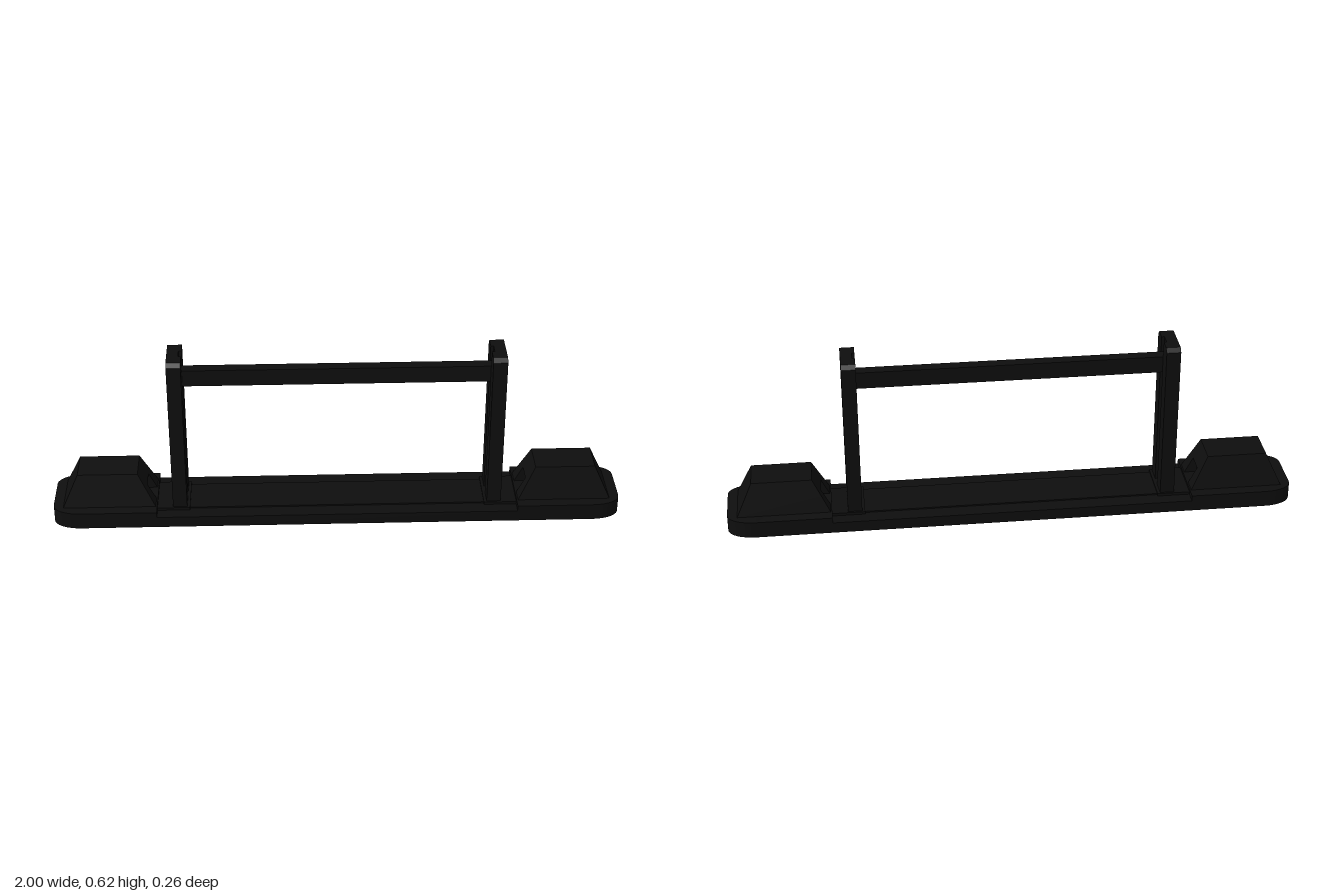
import * as THREE from 'three';

const black = new THREE.MeshStandardMaterial({ color: 0x0e0e0e });
black.name = 'matteBlack';

function add(parent, name, geometry, x = 0, y = 0, z = 0) {
  const mesh = new THREE.Mesh(geometry, black);
  mesh.name = name;
  mesh.position.set(x, y, z);
  parent.add(mesh);
  return mesh;
}

// Plan outline (x, z) extruded upwards from y = 0
function slab(shape, height) {
  const g = new THREE.ExtrudeGeometry(shape, { depth: height, bevelEnabled: false, curveSegments: 8 });
  return g.rotateX(-Math.PI / 2);
}

// Plan of one half of the base, from x0 to the rounded end
function endPlan(x0) {
  const s = new THREE.Shape();
  s.moveTo(x0, -0.13);
  s.lineTo(0.9, -0.13);
  s.bezierCurveTo(0.955, -0.13, 1, -0.105, 1, -0.07);
  s.lineTo(1, 0.07);
  s.bezierCurveTo(1, 0.105, 0.955, 0.13, 0.9, 0.13);
  s.lineTo(x0, 0.13);
  s.closePath();
  return s;
}

// Solid between two matching plan outlines at two heights
function loft(lower, upper, y0, y1) {
  const pos = [];
  const put = (p, y) => pos.push(p[0], y, -p[1]);
  const n = lower.length;
  for (let i = 0; i < n; i++) {
    const j = (i + 1) % n;
    put(lower[i], y0); put(lower[j], y0); put(upper[j], y1);
    put(lower[i], y0); put(upper[j], y1); put(upper[i], y1);
  }
  const tris = THREE.ShapeUtils.triangulateShape(upper.map(p => new THREE.Vector2(...p)), []);
  for (const [a, b, c] of tris) {
    put(upper[a], y1); put(upper[b], y1); put(upper[c], y1);
    put(lower[c], y0); put(lower[b], y0); put(lower[a], y0);
  }
  const g = new THREE.BufferGeometry();
  g.setAttribute('position', new THREE.Float32BufferAttribute(pos, 3));
  g.computeVertexNormals();
  return g;
}

// Plan of the end block at height y, optionally with a slot on the inner side
function blockPlan(y, slotted) {
  const t = (y - 0.06) / 0.118;
  const a = 0.64 + 0.06 * t, b = 0.965 - 0.055 * t, w = 0.09 - 0.028 * t;
  const plan = [[a, -w], [b, -w], [b, w], [a, w]];
  if (slotted) plan.push([a, 0.035], [0.685, 0.035], [0.685, -0.035], [a, -0.035]);
  return plan;
}

// Upright plate seen from the side, with chamfered top corners
function postPlate(z0, z1, thickness) {
  const s = new THREE.Shape();
  s.moveTo(z0, 0.03);
  s.lineTo(z1, 0.03);
  if (z1 > 0.07) { s.lineTo(z1, 0.608); s.lineTo(z1 - 0.014, 0.622); } else s.lineTo(z1, 0.622);
  if (z0 < -0.07) { s.lineTo(z0 + 0.014, 0.622); s.lineTo(z0, 0.608); } else s.lineTo(z0, 0.622);
  s.closePath();
  const g = new THREE.ExtrudeGeometry(s, { depth: thickness, bevelEnabled: false });
  return g.rotateY(Math.PI / 2);
}

function createSide() {
  const side = new THREE.Group();
  add(side, 'endPad', slab(endPlan(0.635), 0.06));
  add(side, 'postFoot', new THREE.BoxGeometry(0.12, 0.05, 0.17), 0.58, 0.025, 0);
  // Tapered end block with a small slot facing the post
  add(side, 'blockLower', loft(blockPlan(0.06, true), blockPlan(0.118, true), 0.06, 0.118));
  add(side, 'blockUpper', loft(blockPlan(0.118), blockPlan(0.178), 0.118, 0.178));
  // Post with a shallow channel on its inner face
  add(side, 'postBack', postPlate(-0.078, 0.078, 0.04), 0.54);
  add(side, 'postRail', postPlate(0.02, 0.078, 0.01), 0.53);
  add(side, 'postRail', postPlate(-0.078, -0.02, 0.01), 0.53);
  return side;
}

export function createModel() {
  const model = new THREE.Group();
  model.name = 'barStand';

  // Long base with a slightly raised centre strip
  add(model, 'basePlate', new THREE.BoxGeometry(1.28, 0.04, 0.26), 0, 0.02, 0);
  add(model, 'baseStrip', new THREE.BoxGeometry(1.27, 0.045, 0.15), 0, 0.0225, 0);

  // Matching ends, turned half a circle
  for (const [name, angle] of [['leftEnd', 0], ['rightEnd', Math.PI]]) {
    const side = createSide();
    side.name = name;
    side.rotation.y = angle;
    model.add(side);
  }

  // Bar between the posts
  add(model, 'crossbar', new THREE.BoxGeometry(1.09, 0.06, 0.04), 0, 0.535, 0);
  return model;
}
